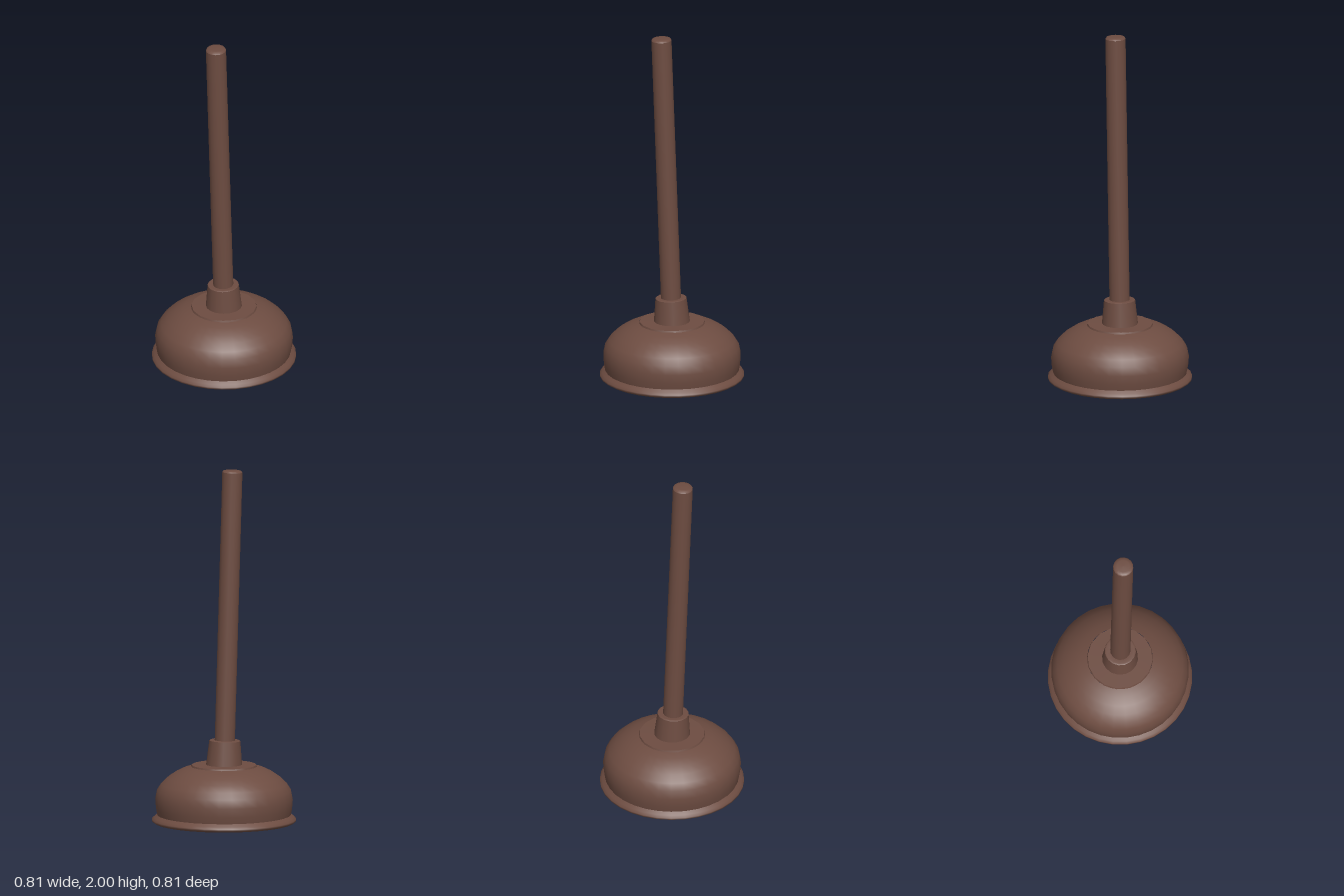
import * as THREE from 'three';

// Builds a smooth turned part from [radius, height] pairs listed from bottom to top.
function turned(name, profile, sides, material) {
  const points = profile.map(([r, y]) => new THREE.Vector2(r, y));
  const mesh = new THREE.Mesh(new THREE.LatheGeometry(points, sides), material);
  mesh.name = name;
  return mesh;
}

export function createModel() {
  const model = new THREE.Group();
  model.name = 'plunger';

  const brown = new THREE.MeshStandardMaterial({ color: 0x6d4c41 });
  brown.name = 'brown';

  // Rubber cup: outer bell with the flared lip
  const cup = new THREE.Group();
  cup.name = 'cup';
  cup.add(turned('bell', [
    [0.377, 0.048], [0.384, 0.085], [0.388, 0.135], [0.378, 0.185], [0.354, 0.222],
    [0.318, 0.257], [0.275, 0.286], [0.23, 0.308], [0.185, 0.321],
  ], 32, brown));
  cup.add(turned('lip', [
    [0.335, 0.025], [0.345, 0.007], [0.365, 0], [0.392, 0.003], [0.406, 0.012],
    [0.406, 0.022], [0.394, 0.034], [0.377, 0.048],
  ], 32, brown));

  // Hollow underside, running from the ceiling down to the lip
  cup.add(turned('cupInside', [
    [0, 0.29], [0.17, 0.285], [0.26, 0.262], [0.325, 0.205], [0.355, 0.14],
    [0.35, 0.07], [0.335, 0.025],
  ], 32, brown));

  // Slightly raised disc on top of the bell
  cup.add(turned('topDiscEdge', [[0.187, 0.318], [0.183, 0.33]], 16, brown));
  cup.add(turned('topDisc', [[0.183, 0.33], [0, 0.333]], 16, brown));
  model.add(cup);

  // Collar and stick lean together about the top of the cup
  const pivot = 0.3;
  const stick = new THREE.Group();
  stick.name = 'stick';
  stick.position.y = pivot;
  stick.rotation.set(0.026, 0, 0.026);

  stick.add(turned('collar', [[0.103, 0.015], [0.088, 0.166]], 16, brown));
  stick.add(turned('collarTop', [[0.088, 0.166], [0.08, 0.171], [0.05, 0.168]], 16, brown));
  stick.add(turned('handle', [[0.057, 0.02], [0.057, 1.688]], 16, brown));
  stick.add(turned('handleTop', [[0.057, 1.688], [0.051, 1.697], [0.035, 1.7], [0, 1.701]], 16, brown));
  model.add(stick);

  return model;
}
